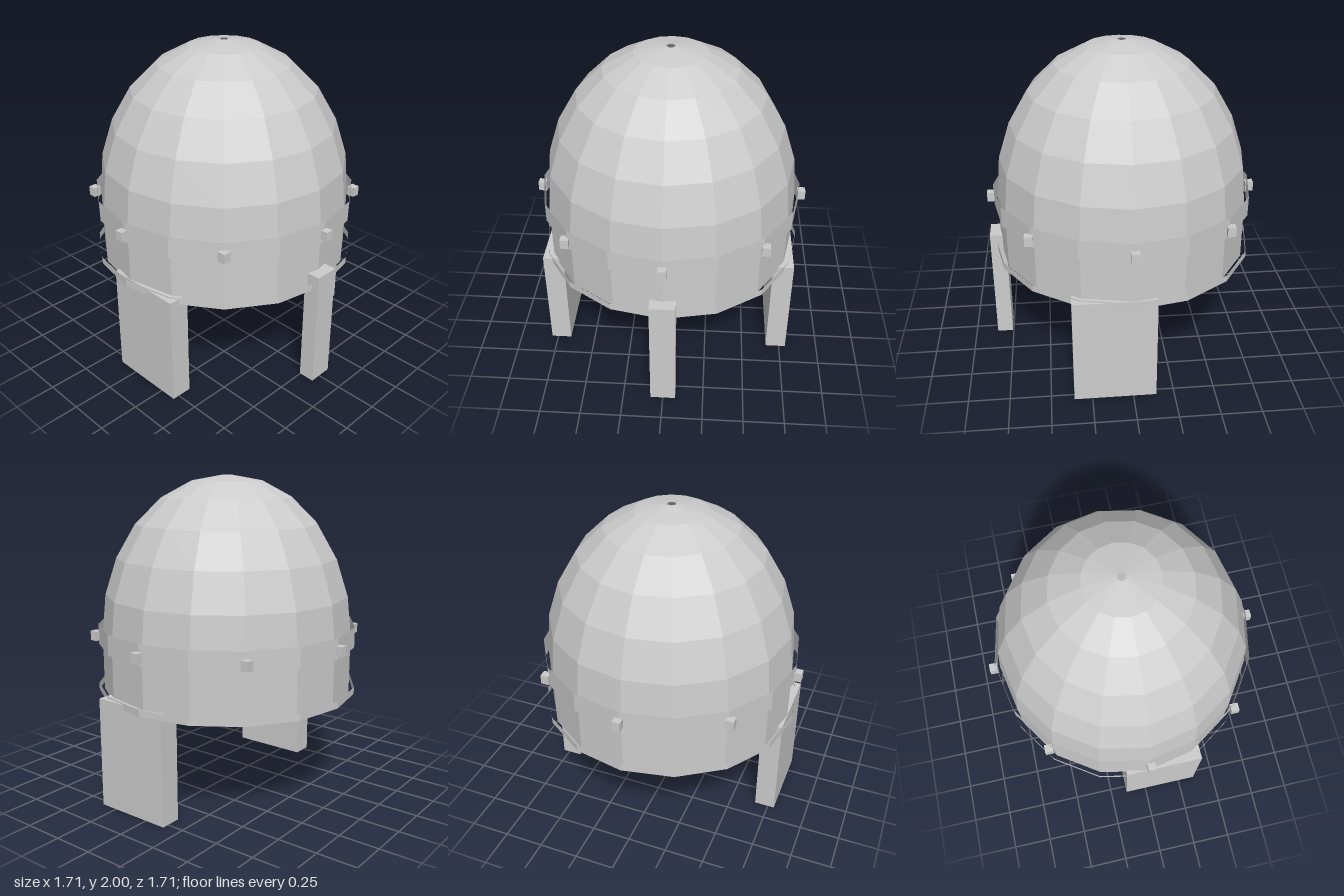
import * as THREE from 'three';

const SIDES = 16;

export function createModel() {
  const helmet = new THREE.Group();
  helmet.name = 'helmet';
  const steel = new THREE.MeshStandardMaterial({ color: 0xcccccc, flatShading: true, side: THREE.DoubleSide });
  steel.name = 'steel';

  const add = (name, geometry, x = 0, y = 0, z = 0) => {
    const mesh = new THREE.Mesh(geometry, steel);
    mesh.name = name;
    mesh.position.set(x, y, z);
    helmet.add(mesh);
    return mesh;
  };

  // Faceted dome with a small opening at the crown
  const profile = [
    [0.79, 1.02], [0.765, 1.27], [0.69, 1.5], [0.57, 1.705],
    [0.407, 1.865], [0.22, 1.965], [0.025, 2.0],
  ].map(([r, y]) => new THREE.Vector2(r, y));
  add('dome', new THREE.LatheGeometry(profile, SIDES));

  // Open, thin-walled rings: skull wall, brow band and lower rim
  const ring = (name, radius, bottom, top) =>
    add(name, new THREE.CylinderGeometry(radius, radius, top - bottom, SIDES, 1, true), 0, (top + bottom) / 2, 0);
  ring('skullWall', 0.79, 0.66, 1.02);
  ring('browBand', 0.815, 0.955, 1.085);
  ring('lowerRim', 0.823, 0.657, 0.7);

  // Eight square rivets around the brow band, all aligned to the axes
  const rivet = new THREE.BoxGeometry(0.05, 0.06, 0.05);
  for (let i = 0; i < 8; i++) {
    const a = (i * Math.PI) / 4;
    add('rivet', rivet, 0.83 * Math.sin(a), 1.01, 0.83 * Math.cos(a));
  }

  // Nose guard at the front
  add('noseGuard', new THREE.BoxGeometry(0.155, 0.75, 0.1), 0, 0.385, 0.805);

  // Cheek plates, mirrored left and right
  for (const side of [1, -1]) {
    add(side > 0 ? 'leftCheekPlate' : 'rightCheekPlate',
      new THREE.BoxGeometry(0.13, 0.69, 0.5), side * 0.727, 0.345, 0.11);
  }

  return helmet;
}
